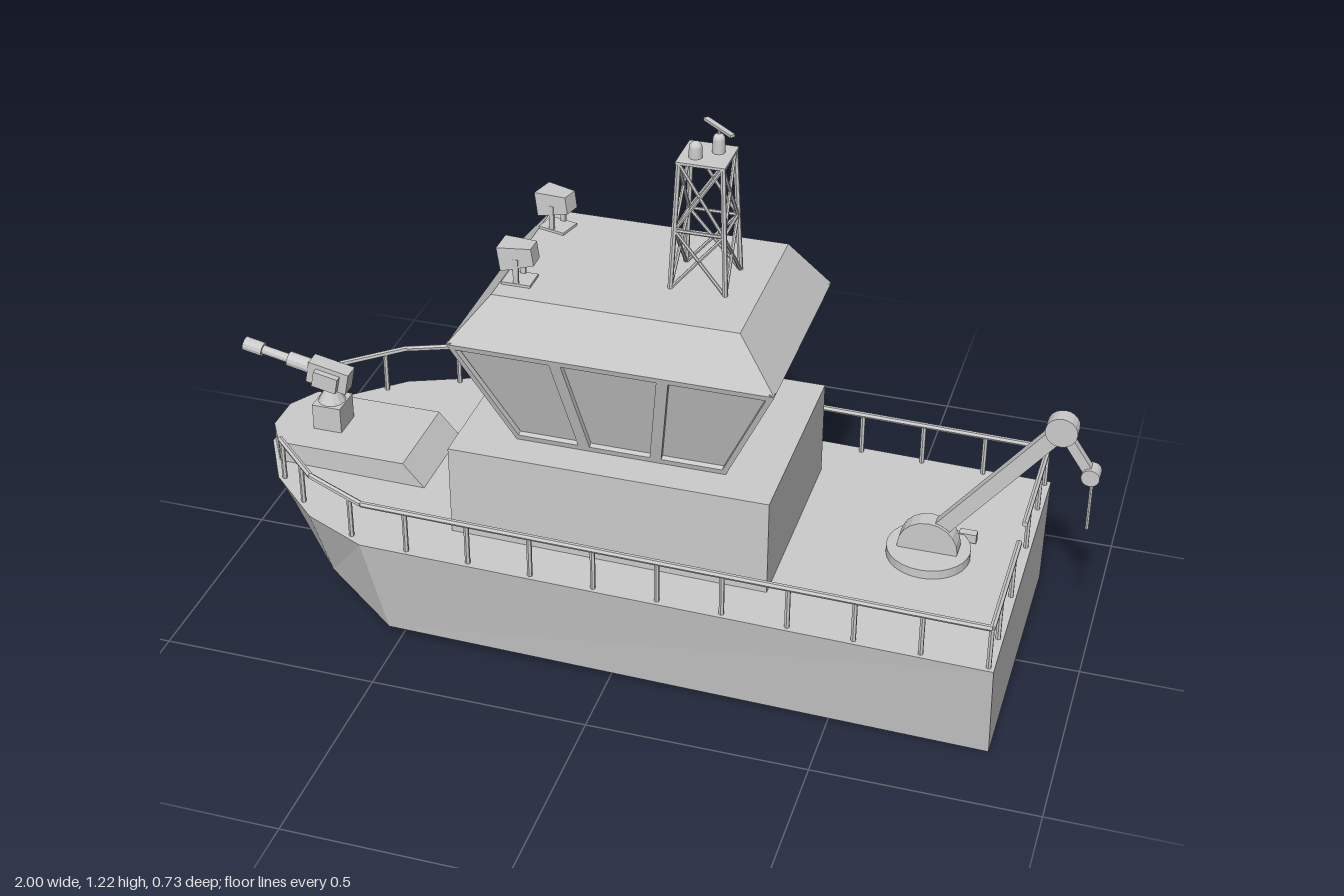
import * as THREE from 'three';

const mat = new THREE.MeshStandardMaterial({ color: 0xcccccc, flatShading: true });
const smooth = new THREE.MeshStandardMaterial({ color: 0xcccccc });
const V = (x, y, z) => new THREE.Vector3(x, y, z);

function add(parent, name, geo, x = 0, y = 0, z = 0, m = mat) {
  const mesh = new THREE.Mesh(geo, m);
  mesh.name = name;
  mesh.position.set(x, y, z);
  parent.add(mesh);
  return mesh;
}

function group(parent, name) {
  const g = new THREE.Group();
  g.name = name;
  parent.add(g);
  return g;
}

const box = (w, h, d) => new THREE.BoxGeometry(w, h, d);
const cyl = (r0, r1, h, n = 16) => new THREE.CylinderGeometry(r0, r1, h, n);
const cylZ = (r, h, n = 20) => cyl(r, r, h, n).rotateX(Math.PI / 2);

// Straight bar between two points
function rod(parent, name, a, b, r, sides = 6) {
  const m = add(parent, name, cyl(r, r, a.distanceTo(b), sides));
  m.position.copy(a).add(b).multiplyScalar(0.5);
  m.quaternion.setFromUnitVectors(V(0, 1, 0), b.clone().sub(a).normalize());
  return m;
}

// Closed solid through rings of equal point count
function loft(rings) {
  const n = rings[0].length, last = (rings.length - 1) * n, idx = [];
  for (let i = 0; i < rings.length - 1; i++) {
    for (let j = 0; j < n; j++) {
      const a = i * n + j, d = i * n + (j + 1) % n;
      idx.push(a, d, a + n, a + n, d, d + n);
    }
  }
  for (let j = 1; j < n - 1; j++) idx.push(0, j + 1, j, last, last + j, last + j + 1);
  const g = new THREE.BufferGeometry().setFromPoints(rings.flat());
  g.setIndex(idx);
  const flat = g.toNonIndexed();
  flat.computeVertexNormals();
  return flat;
}

const rect = (x0, x1, hz, y) => [V(x0, y, hz), V(x1, y, hz), V(x1, y, -hz), V(x0, y, -hz)];
const deckY = x => 0.275 - 0.03 * (x + 0.925) / 1.78;

function buildHull(root) {
  // deck x, deck half width, chine x, chine y, chine half width
  const stations = [
    [-0.925, 0.045, -0.915, 0.25, 0.04],
    [-0.85, 0.18, -0.84, 0.175, 0.13],
    [-0.72, 0.30, -0.70, 0.085, 0.24],
    [-0.57, 0.367, -0.53, 0.02, 0.325],
    [0.855, 0.367, 0.855, 0, 0.33],
  ];
  add(root, 'hull', loft(stations.map(([dx, dh, cx, cy, ch]) => [
    V(dx, deckY(dx), dh), V(cx, cy, ch), V(cx, cy, -ch), V(dx, deckY(dx), -dh)])));

  // Raised foredeck with a sloped aft edge
  const outline = (tail, y) => [V(-0.917, y, 0.045), V(-0.875, y, 0.115), V(tail, y, 0.115),
    V(tail, y, -0.115), V(-0.875, y, -0.115), V(-0.917, y, -0.045)];
  add(root, 'foredeck', loft([outline(-0.508, 0.26), outline(-0.565, 0.325)]));
}

function buildRailing(root) {
  const g = group(root, 'railing');
  const top = (x, z) => V(x, deckY(x) + 0.102, z);
  const path = [[-0.84, 0.172], [-0.715, 0.287], [-0.565, 0.353], [0.843, 0.353], [0.843, 0.035]];
  const posts = [[-0.835, 0.176], [-0.755, 0.25], [-0.6, 0.338], [0.843, 0.25], [0.843, 0.095]];
  for (let i = 0; i < 10; i++) posts.push([-0.463 + i * 0.145, 0.353]);
  for (const s of [1, -1]) {
    for (let i = 0; i < path.length - 1; i++) {
      rod(g, 'handrail', top(path[i][0], s * path[i][1]), top(path[i + 1][0], s * path[i + 1][1]), 0.007);
    }
    for (const [x, z] of posts) rod(g, 'railPost', V(x, deckY(x) - 0.01, s * z), top(x, s * z), 0.006);
  }
}

// Leaning wall frame with trapezoid window openings
function windowWall(w0, w1, len, count) {
  const pt = (x, v, f) => new THREE.Vector2(x + f * (w0 + (w1 - w0) * v) / 2, v * len);
  const shape = new THREE.Shape([pt(0, 0, -1), pt(0, 0, 1), pt(0, 1, 1), pt(0, 1, -1)]);
  for (let i = 0; i < count; i++) {
    const f0 = -1 + 2 * i / count, f1 = f0 + 2 / count, m = 0.013;
    shape.holes.push(new THREE.Path([
      pt(m, 0.05, f0), pt(m, 0.95, f0), pt(-m, 0.95, f1), pt(-m, 0.05, f1)]));
  }
  return new THREE.ExtrudeGeometry(shape, { depth: 0.012, bevelEnabled: false }).translate(0, 0, -0.012);
}

function buildCabin(root) {
  add(root, 'cabinBase', box(0.73, 0.245, 0.5), -0.03, 0.3625, 0);
  const g = group(root, 'wheelhouse');
  const cx = -0.024, y0 = 0.485, h = 0.27, bx = 0.24, tx = 0.363, bz = 0.167, tz = 0.25, t = 0.014;
  add(g, 'windowGlass', loft([rect(cx - bx + t, cx + bx - t, bz - t, y0), rect(cx - tx + t, cx + tx - t, tz - t, y0 + h)]));
  for (let k = 0; k < 4; k++) {
    const side = k % 2 === 0;
    const [d0, d1, a0, a1] = side ? [bz, tz, bx, tx] : [bx, tx, bz, tz];
    const wall = windowWall(2 * a0, 2 * a1, Math.hypot(h, d1 - d0), side ? 3 : 2);
    wall.rotateX(Math.atan2(d1 - d0, h)).translate(0, 0, d0).rotateY(k * Math.PI / 2);
    add(g, 'windowFrame', wall, cx, y0, 0);
  }
  add(g, 'roof', loft([rect(cx - tx, cx + tx, tz, y0 + h), rect(-0.298, 0.25, 0.2, 0.866)]));
}

function buildSearchlights(root) {
  for (const s of [1, -1]) {
    const g = group(root, 'searchlight');
    g.position.set(-0.26, 0.866, s * 0.125);
    if (s < 0) g.rotation.y = -0.25;
    add(g, 'lampBase', box(0.065, 0.006, 0.055), 0, 0.003, 0);
    for (const z of [-0.023, 0.023]) add(g, 'lampBracket', box(0.012, 0.06, 0.006), 0, 0.033, z);
    // Housing widens toward the bow
    const face = (x, hy, hz) => [V(x, hy, hz), V(x, -hy, hz), V(x, -hy, -hz), V(x, hy, -hz)];
    const lamp = add(g, 'lampHousing', loft([face(-0.037, 0.028, 0.03), face(0.037, 0.02, 0.02)]), 0, 0.066, 0);
    lamp.rotation.z = 0.14;
  }
}

function buildMast(root) {
  const g = group(root, 'mast');
  g.position.set(0.118, 0.865, 0);
  const levels = [[0, 0.061], [0.137, 0.054], [0.293, 0.048]];
  const corner = (k, l) => {
    const a = (k + 0.5) * Math.PI / 2, r = levels[l][1] * Math.SQRT2;
    return V(r * Math.cos(a), levels[l][0], r * Math.sin(a));
  };
  for (let k = 0; k < 4; k++) {
    rod(g, 'mastLeg', corner(k, 0), corner(k, 2), 0.006);
    for (const l of [0, 1]) {
      rod(g, 'mastBrace', corner(k, l), corner(k + 1, l + 1), 0.004);
      rod(g, 'mastBrace', corner(k + 1, l), corner(k, l + 1), 0.004);
      rod(g, 'mastCrossbar', corner(k, l + 1), corner(k + 1, l + 1), 0.004);
    }
  }
  add(g, 'mastPlatform', box(0.108, 0.006, 0.108), 0, 0.295, 0);
  // Antenna dome and rotating radar
  for (const [x, z, h, r] of [[-0.02, 0.018, 0.022, 0.015], [0.02, -0.018, 0.03, 0.014]]) {
    add(g, 'antennaBody', cyl(r * 0.95, r, h), x, 0.298 + h / 2, z, smooth);
    add(g, 'antennaDome', new THREE.SphereGeometry(r * 0.95, 16, 8, 0, Math.PI * 2, 0, Math.PI / 2), x, 0.298 + h, z, smooth);
  }
  add(g, 'radarSpindle', cyl(0.004, 0.004, 0.02, 8), 0.02, 0.346, -0.018);
  add(g, 'radarBar', box(0.1, 0.006, 0.012), 0.02, 0.355, -0.018).rotation.y = -0.7;
}

function buildDeckGun(root) {
  const g = group(root, 'deckGun');
  add(g, 'gunPedestal', box(0.07, 0.065, 0.075), -0.785, 0.357, 0);
  add(g, 'gunSwivel', cyl(0.016, 0.033, 0.03, 12), -0.785, 0.404, 0);
  const b = group(g, 'gunBody');
  b.position.set(-0.785, 0.458, 0);
  b.rotation.z = -0.2;
  add(b, 'gunReceiver', box(0.1, 0.055, 0.04));
  add(b, 'gunSideMount', box(0.06, 0.04, 0.07), 0, -0.004, 0);
  for (const [name, r, x0, x1] of [['barrelSleeve', 0.018, -0.105, -0.05],
    ['barrel', 0.011, -0.18, -0.1], ['muzzle', 0.017, -0.217, -0.17]]) {
    add(b, name, cyl(r, r, x1 - x0, 12).rotateZ(Math.PI / 2), (x0 + x1) / 2, 0.004, 0);
  }
}

function buildCrane(root) {
  const g = group(root, 'crane');
  add(g, 'craneTurntable', cyl(0.094, 0.094, 0.022, 28), 0.64, 0.259, 0);
  const half = new THREE.CylinderGeometry(0.068, 0.068, 0.042, 20, 1, false, 0, Math.PI * 2).rotateX(Math.PI / 2);
  add(g, 'craneHousing', half, 0.64, 0.276, 0);
  add(g, 'craneControlBox', box(0.04, 0.022, 0.02), 0.715, 0.262, -0.075);
  const a = V(0.655, 0.315, 0), elbow = V(0.907, 0.632, 0), tip = V(0.977, 0.53, 0);
  const boom = (name, p, q, w, d) => {
    const m = add(g, name, box(p.distanceTo(q), w, d));
    m.position.copy(p).add(q).multiplyScalar(0.5);
    m.rotation.z = Math.atan2(q.y - p.y, q.x - p.x);
  };
  boom('craneBoom', a, elbow, 0.036, 0.025);
  boom('craneJib', elbow, tip, 0.022, 0.02);
  add(g, 'craneElbow', cylZ(0.035, 0.037), elbow.x, elbow.y, 0);
  add(g, 'cranePulley', cylZ(0.02, 0.037), tip.x, tip.y, 0);
  rod(g, 'craneCable', V(0.98, 0.388, 0), V(0.98, 0.53, 0), 0.004);
}

export function createModel() {
  const root = new THREE.Group();
  root.name = 'patrolBoat';
  [buildHull, buildRailing, buildCabin, buildSearchlights, buildMast, buildDeckGun, buildCrane].forEach(f => f(root));
  return root;
}
